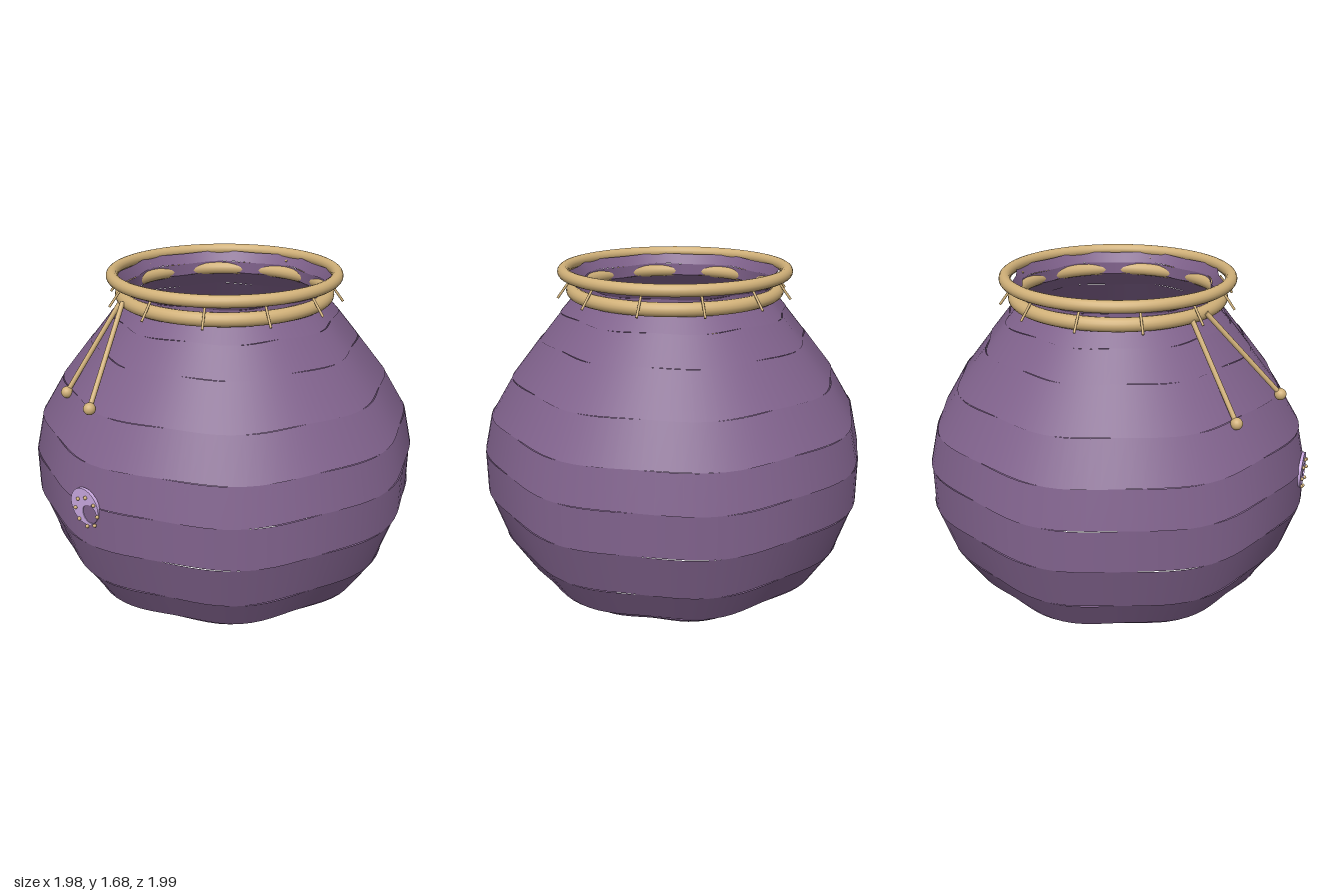
import * as THREE from 'three';

const mat = (color, extra = {}) => new THREE.MeshStandardMaterial({ color, ...extra });

export function createModel() {
  const model = new THREE.Group();
  const cloth = mat(0x80628c, { side: THREE.DoubleSide });
  const gold = mat(0xd0b078);
  const lilac = mat(0xc9a8e0);

  const add = (geometry, material, name, parent = model) => {
    const mesh = new THREE.Mesh(geometry, material);
    mesh.name = name;
    parent.add(mesh);
    return mesh;
  };

  // Straight cord between two points
  const cord = (a, b, radius, name, parent) => {
    const dir = b.clone().sub(a);
    const mesh = add(new THREE.CylinderGeometry(radius, radius, dir.length(), 10), gold, name, parent);
    mesh.position.copy(a).add(b).multiplyScalar(0.5);
    mesh.quaternion.setFromUnitVectors(new THREE.Vector3(0, 1, 0), dir.normalize());
    return mesh;
  };

  // Cloth body: stacked bands, each with eight soft folds, open at both ends
  const profile = [
    [0.47, 0.003], [0.655, 0.03], [0.795, 0.13], [0.91, 0.315], [0.988, 0.555], [0.988, 0.765],
    [0.945, 0.95], [0.83, 1.14], [0.68, 1.33], [0.575, 1.46], [0.505, 1.54], [0.505, 1.6], [0.535, 1.65],
  ];
  const body = new THREE.Group();
  body.name = 'clothBody';
  body.position.z = -0.006;
  model.add(body);
  for (let i = 0; i < profile.length - 1; i++) {
    const [r0, y0] = profile[i];
    const [r1, y1] = profile[i + 1];
    const phase = (i % 2) * 0.04;
    const band = new THREE.CylinderGeometry(r1, r0, y1 - y0, 96, 1, true);
    const p = band.attributes.position;
    for (let k = 0; k < p.count; k++) {
      const x = p.getX(k), z = p.getZ(k);
      const r = Math.hypot(x, z);
      const s = (r - 0.017 * (1 - Math.cos(8 * (Math.atan2(x, z) + phase)))) / r;
      p.setX(k, x * s);
      p.setZ(k, z * s);
    }
    band.translate(0, (y0 + y1) / 2, 0);
    add(band, cloth, 'clothBand', body);
  }

  // Rolled rim and neck ring
  for (const [name, R, tube, y] of [['rimRing', 0.555, 0.029, 1.655], ['neckRing', 0.511, 0.033, 1.56]]) {
    const ring = add(new THREE.TorusGeometry(R, tube, 16, 80), gold, name);
    ring.rotation.x = Math.PI / 2;
    ring.position.set(-0.002, y, -0.003);
  }

  // Twelve stitches tying the two rings
  const stitches = new THREE.Group();
  stitches.name = 'stitches';
  model.add(stitches);
  for (let i = 0; i < 12; i++) {
    const a = (i * Math.PI) / 6;
    const at = (r, y) => new THREE.Vector3(r * Math.sin(a), y, r * Math.cos(a));
    cord(at(0.52, 1.625), at(0.588, 1.535), 0.006, 'stitch', stitches);
  }

  // Two drawstrings with bead ends
  const strings = [
    [[-0.21, 1.57, 0.5], [-0.09, 1.17, 0.85]],
    [[-0.27, 1.57, 0.44], [-0.41, 1.13, 0.71]],
  ];
  for (const [from, to] of strings) {
    cord(new THREE.Vector3(...from), new THREE.Vector3(...to), 0.012, 'drawstring');
    add(new THREE.SphereGeometry(0.029, 20, 14), gold, 'drawstringBead').position.set(...to);
  }

  // Crescent emblem on the front
  const crescent = new THREE.Shape().absarc(-0.015, 0.75, 0.09, 0, Math.PI * 2);
  crescent.holes.push(new THREE.Path().absarc(0.018, 0.722, 0.046, 0, Math.PI * 2, true));
  const emblem = new THREE.ExtrudeGeometry(crescent, { depth: 0.015, bevelEnabled: false, curveSegments: 32 });
  add(emblem, lilac, 'crescentEmblem').position.z = 0.969;

  // Ring of eight beads around the emblem
  for (let i = 0; i < 8; i++) {
    const a = (i * Math.PI) / 4;
    add(new THREE.SphereGeometry(0.009, 12, 8), gold, 'emblemBead')
      .position.set(0.073 * Math.cos(a), 0.728 + 0.073 * Math.sin(a), 0.988);
  }

  return model;
}
